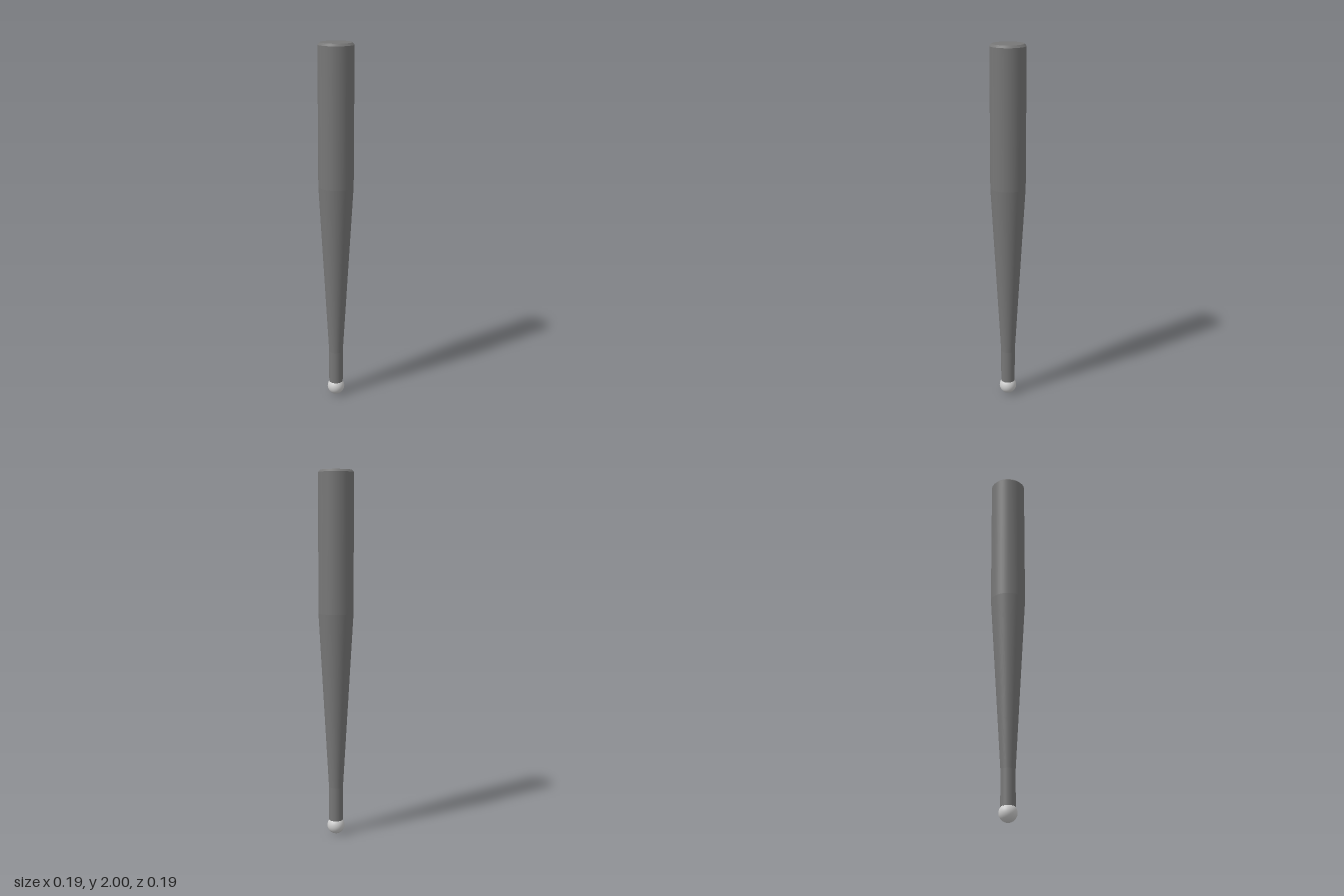
import * as THREE from 'three';
import { mergeGeometries } from 'three/addons/utils/BufferGeometryUtils.js';

const SIDES = 64;

// Revolve each run of [radius, y] points separately, so edges between runs stay sharp
function turned(runs) {
  return mergeGeometries(runs.map((run) =>
    new THREE.LatheGeometry(run.map(([r, y]) => new THREE.Vector2(r, y)), SIDES)));
}

export function createModel() {
  const group = new THREE.Group();
  group.name = 'bat';

  const dark = new THREE.MeshStandardMaterial({ color: 0x777777 });
  const light = new THREE.MeshStandardMaterial({ color: 0xcccccc });

  // Shaft: straight grip, long taper, straight barrel, bevelled flat end
  const shaft = new THREE.Mesh(turned([
    [[0, 0.08], [0.039, 0.08]],
    [[0.039, 0.08], [0.039, 0.27]],
    [[0.039, 0.27], [0.095, 1.24]],
    [[0.095, 1.24], [0.095, 1.988]],
    [[0.095, 1.988], [0.084, 2]],
    [[0.084, 2], [0, 2]],
  ]), dark);
  shaft.name = 'shaft';
  group.add(shaft);

  // Ball knob at the foot of the grip
  const knob = new THREE.Mesh(new THREE.SphereGeometry(0.048, 40, 24), light);
  knob.name = 'knob';
  knob.position.y = 0.048;
  group.add(knob);

  return group;
}
